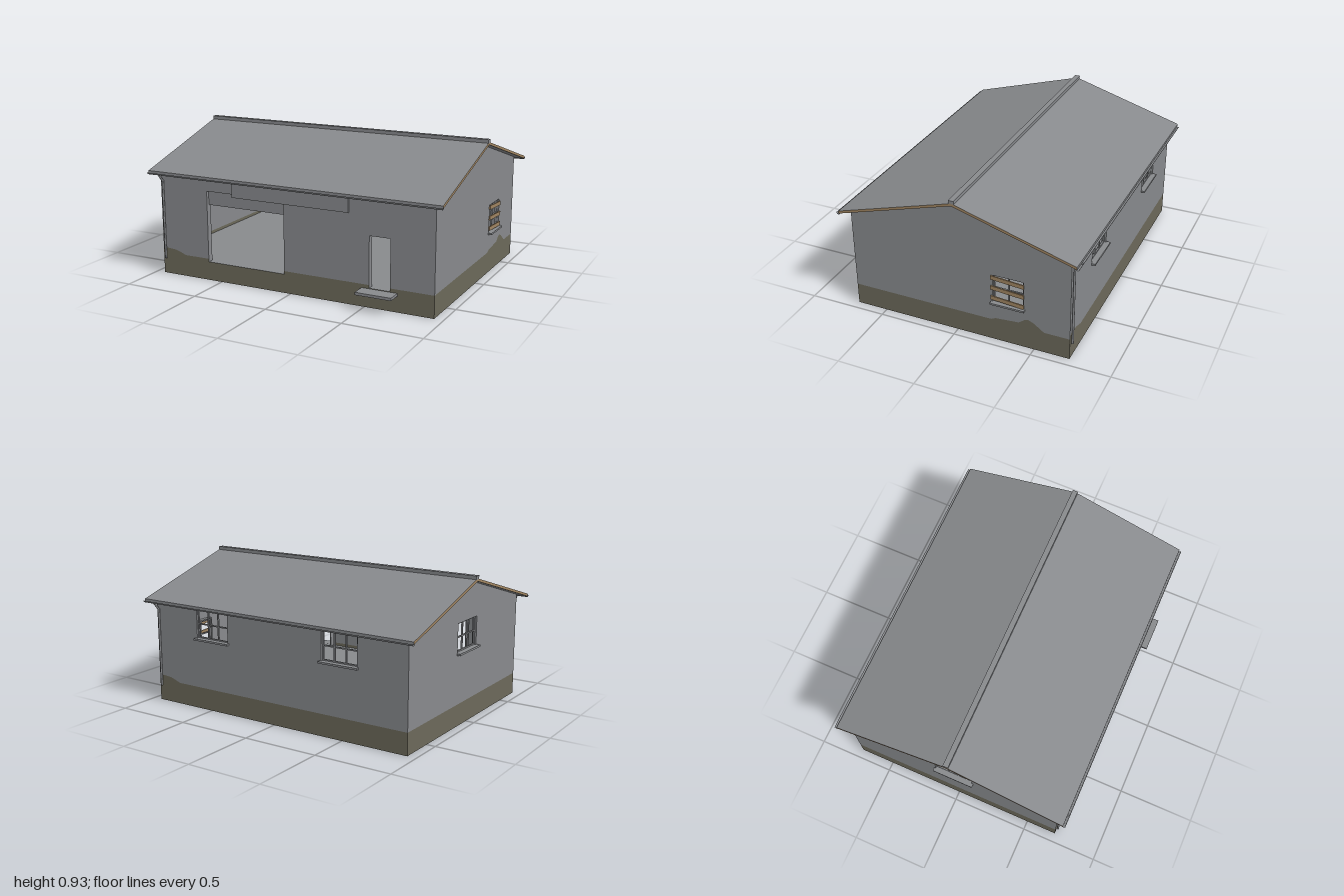
import * as THREE from 'three';

const HALF_W = 0.943, HALF_D = 0.7125, EAVE = 0.682, APEX = 0.893, SLOPE = 0.296;

export function createModel() {
  const mat = (name, color) =>
    Object.assign(new THREE.MeshStandardMaterial({ color, side: THREE.DoubleSide }), { name });
  const concrete = mat('concrete grey', 0x888a8d);
  const grime = mat('grime brown', 0x6c695a);
  const timber = mat('timber', 0xa08562);

  const root = new THREE.Group();
  root.name = 'warehouse';
  const building = new THREE.Group();
  building.name = 'building';
  building.position.z = -0.0125;
  root.add(building);

  const add = (parent, name, geo, material) => {
    const m = new THREE.Mesh(geo, material);
    m.name = name;
    parent.add(m);
    return m;
  };
  // Box given by its min and max on each axis
  const box = (parent, name, x0, x1, y0, y1, z0, z1, material = concrete) => {
    const m = add(parent, name, new THREE.BoxGeometry(x1 - x0, y1 - y0, z1 - z0), material);
    m.position.set((x0 + x1) / 2, (y0 + y1) / 2, (z0 + z1) / 2);
    return m;
  };
  const shape = pts => new THREE.Shape(pts.map(p => new THREE.Vector2(...p)));

  // Lining of an opening, set behind the wall face
  const reveal = (g, name, [x0, x1, y0, y1], depth) => {
    const t = 0.008, b = -depth, f = -0.001;
    box(g, name + 'JambA', x0 - t, x0, y0, y1, b, f);
    box(g, name + 'JambB', x1, x1 + t, y0, y1, b, f);
    box(g, name + 'Head', x0 - t, x1 + t, y1, y1 + t, b, f);
    box(g, name + 'Sill', x0 - t, x1 + t, y0 - t, y0, b, f);
  };

  // Window with frame, glazing bars and a projecting sill
  const windowUnit = (g, rect, cols, rows) => {
    const [x0, x1, y0, y1] = rect, w = 0.008, b = -0.022, f = -0.012;
    reveal(g, 'windowReveal', rect, 0.03);
    for (let i = 0; i <= cols; i++) {
      const x = x0 + (x1 - x0 - w) * i / cols;
      box(g, 'windowUpright', x, x + w, y0, y1, b, f);
    }
    for (let i = 0; i <= rows; i++) {
      const y = y0 + (y1 - y0 - w) * i / rows;
      box(g, 'windowRail', x0, x1, y, y + w, b, f);
    }
    box(g, 'windowSill', x0 - 0.01, x1 + 0.01, y0 - 0.012, y0, -0.03, 0.024);
  };

  // Wall: stained lower band and clean upper part, with doors and windows cut out
  const wall = (name, half, dist, angle, { peak, stain = [], doors = [], windows = [] }) => {
    const g = new THREE.Group();
    g.name = name;
    g.rotation.y = angle;
    g.position.set(Math.sin(angle) * dist, 0, Math.cos(angle) * dist);
    building.add(g);
    const edge = k => {
      const line = [...stain];
      for (const d of doors) line.push([d[0], 0.14], [d[0], d[k]], [d[1], d[k]], [d[1], 0.14]);
      if (!stain.length || stain[0][0] > -half) line.unshift([-half, 0.14]);
      return [...line, [half, 0.14]];
    };
    const band = shape([...edge(2), [half, 0], [-half, 0]]);
    const top = peak ? [[half, EAVE], [0, APEX], [-half, EAVE]] : [[half, EAVE], [-half, EAVE]];
    const upper = shape([...edge(3), ...top]);
    for (const { rect: [x0, x1, y0, y1] } of windows) {
      upper.holes.push(shape([[x0, y0], [x0, y1], [x1, y1], [x1, y0]]));
    }
    add(g, name + 'Stain', new THREE.ShapeGeometry(band), grime);
    add(g, name + 'Face', new THREE.ShapeGeometry(upper), concrete);
    doors.forEach(d => reveal(g, 'doorReveal', d, 0.04));
    windows.forEach(w => windowUnit(g, w.rect, w.cols, w.rows));
    return g;
  };

  const cornerStain = [[-HALF_W, 0.165], [-0.92, 0.172], [-0.85, 0.167], [-0.81, 0.155], [-0.77, 0.14]];
  const pane = x => ({ rect: [x - 0.125, x + 0.125, 0.467, 0.65], cols: 3, rows: 2 });

  const front = wall('frontWall', HALF_W, HALF_D, 0, {
    stain: cornerStain,
    doors: [[-0.595, -0.042, 0.12, 0.582], [0.53, 0.665, 0.12, 0.44]],
  });
  wall('backWall', HALF_W, HALF_D, Math.PI, { stain: cornerStain, windows: [pane(-0.48), pane(0.48)] });
  wall('leftGable', HALF_D, HALF_W, -Math.PI / 2, { peak: true, windows: [pane(0)] });
  const boarded = wall('rightGable', HALF_D, HALF_W, Math.PI / 2, {
    peak: true,
    stain: [[0.21, 0.14], [0.24, 0.154], [0.39, 0.167], [0.43, 0.197], [0.45, 0.201],
      [0.48, 0.19], [0.53, 0.155], [0.55, 0.14]],
    windows: [{ rect: [0.223, 0.42, 0.272, 0.455], cols: 2, rows: 2 }],
  });

  // Planks nailed over the right window
  for (const y of [0.434, 0.364, 0.294]) {
    const plank = box(boarded, 'windowPlank', 0.212, 0.424, y - 0.013, y + 0.013, 0.001, 0.009, timber);
    plank.rotation.z = -0.07;
  }

  // Half-raised shutter, fascia panel and doorstep
  box(front, 'rollerShutter', -0.595, -0.042, 0.49, 0.582, -0.035, -0.022);
  box(front, 'fasciaPanel', -0.4, 0.4, 0.565, 0.66, 0, 0.014);
  box(front, 'doorStep', 0.482, 0.712, 0.1, 0.117, 0, 0.092);

  // Floor slab
  box(building, 'floor', -HALF_W + 0.001, HALF_W - 0.001, 0.112, 0.12, -HALF_D + 0.001, HALF_D - 0.001);

  // Pitched roof with timber verges
  const e = 0.762, r = 0.91, t = 0.017, low = r - e * SLOPE;
  const roofGeo = new THREE.ExtrudeGeometry(
    shape([[-e, low - t], [0, r - t], [e, low - t], [e, low], [0, r], [-e, low]]),
    { depth: 2, bevelEnabled: false });
  roofGeo.translate(0, 0, -1).rotateY(Math.PI / 2);
  add(building, 'roof', roofGeo, [timber, concrete]);
  box(building, 'ridgeCap', -1, 1, 0.903, 0.927, -0.017, 0.017);

  // Round pipe between two points
  const pipe = (g, name, a, b) => {
    const A = new THREE.Vector3(...a), B = new THREE.Vector3(...b);
    const m = add(g, name, new THREE.CylinderGeometry(0.007, 0.007, A.distanceTo(B), 10), concrete);
    m.position.copy(A).lerp(B, 0.5);
    m.quaternion.setFromUnitVectors(new THREE.Vector3(0, 1, 0), B.sub(A).normalize());
  };

  // Gutter and downpipe on both long sides
  for (const angle of [0, Math.PI]) {
    const g = new THREE.Group();
    g.name = angle ? 'backDrainage' : 'frontDrainage';
    g.rotation.y = angle;
    building.add(g);
    const gutter = add(g, 'gutter',
      new THREE.CylinderGeometry(0.013, 0.013, 2, 10, 1, true, Math.PI, Math.PI), concrete);
    gutter.rotation.z = Math.PI / 2;
    gutter.position.set(0, 0.674, 0.764);
    pipe(g, 'downpipeElbow', [-0.922, 0.667, 0.764], [-0.922, 0.617, 0.722]);
    pipe(g, 'downpipe', [-0.922, 0.62, 0.722], [-0.922, 0.102, 0.722]);
  }

  return root;
}
